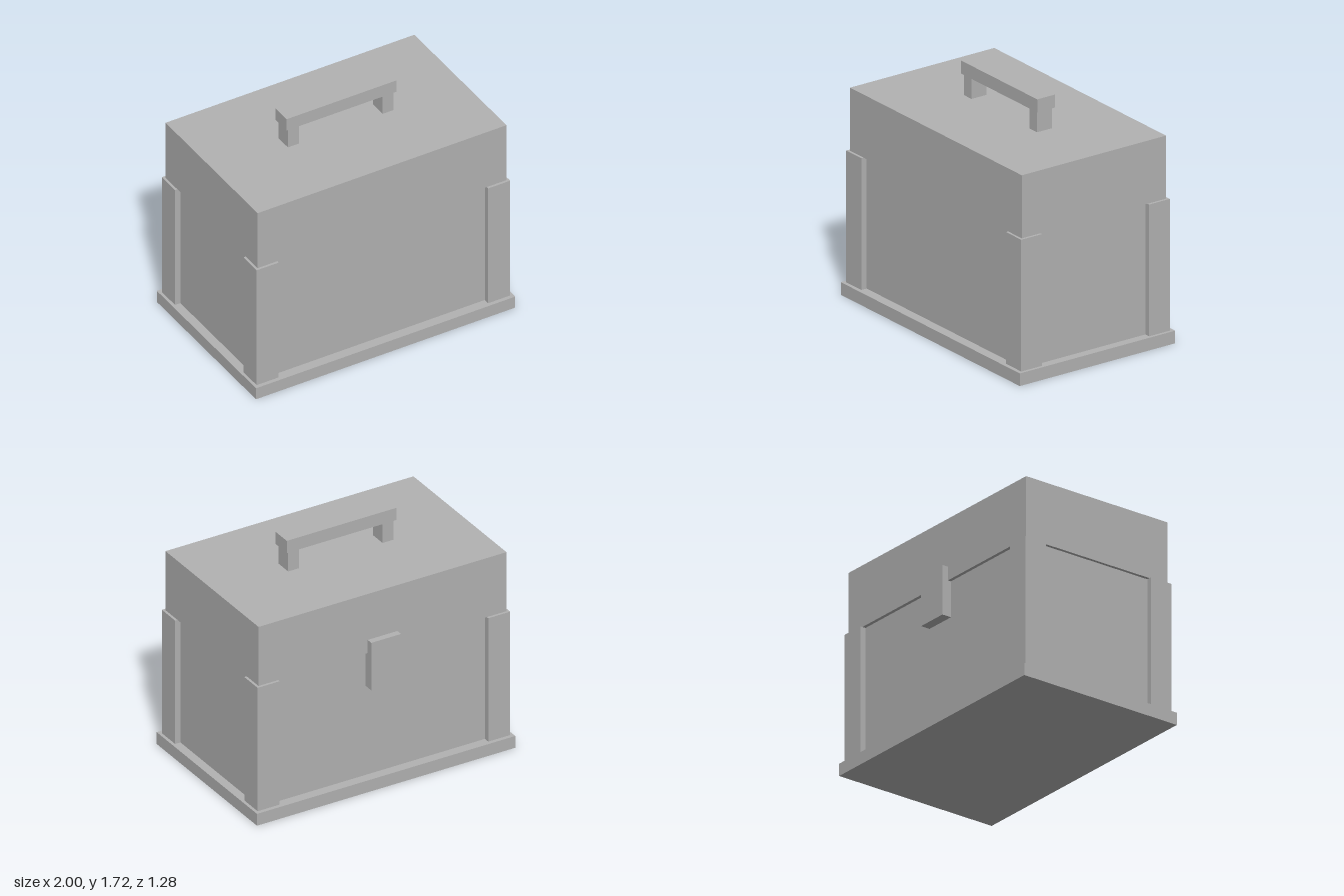
import * as THREE from 'three';

export function createModel() {
  const model = new THREE.Group();
  model.name = 'carryCase';
  const grey = new THREE.MeshStandardMaterial({ color: 0xb2b2b2 });
  grey.name = 'plain grey';

  // Box given by its extents on each axis
  function box(name, [x0, x1], [y0, y1], [z0, z1]) {
    const mesh = new THREE.Mesh(new THREE.BoxGeometry(x1 - x0, y1 - y0, z1 - z0), grey);
    mesh.position.set((x0 + x1) / 2, (y0 + y1) / 2, (z0 + z1) / 2);
    mesh.name = name;
    model.add(mesh);
    return mesh;
  }

  // Plinth, body and lid
  box('base', [-1, 1], [0, 0.09], [-0.638, 0.638]);
  box('body', [-0.937, 0.937], [0.09, 1.03], [-0.567, 0.567]);
  box('lid', [-0.96, 0.96], [1.03, 1.48], [-0.592, 0.592]);

  // Corner posts, standing proud of the body
  for (const sx of [1, -1]) {
    for (const sz of [1, -1]) {
      const post = box('cornerPost', [0.808, 0.978], [0.09, 1.03], [0.44, 0.61]);
      post.position.x *= sx;
      post.position.z *= sz;
    }
  }

  // Latch across the lid seam at the back
  box('latch', [-0.115, 0.115], [0.768, 1.13], [-0.638, -0.567]);

  // Carrying handle
  box('handleBar', [-0.425, 0.425], [1.63, 1.723], [-0.072, 0.072]);
  for (const s of [1, -1]) {
    const leg = box('handleLeg', [0.323, 0.408], [1.48, 1.63], [-0.062, 0.062]);
    leg.position.x *= s;
  }

  return model;
}
